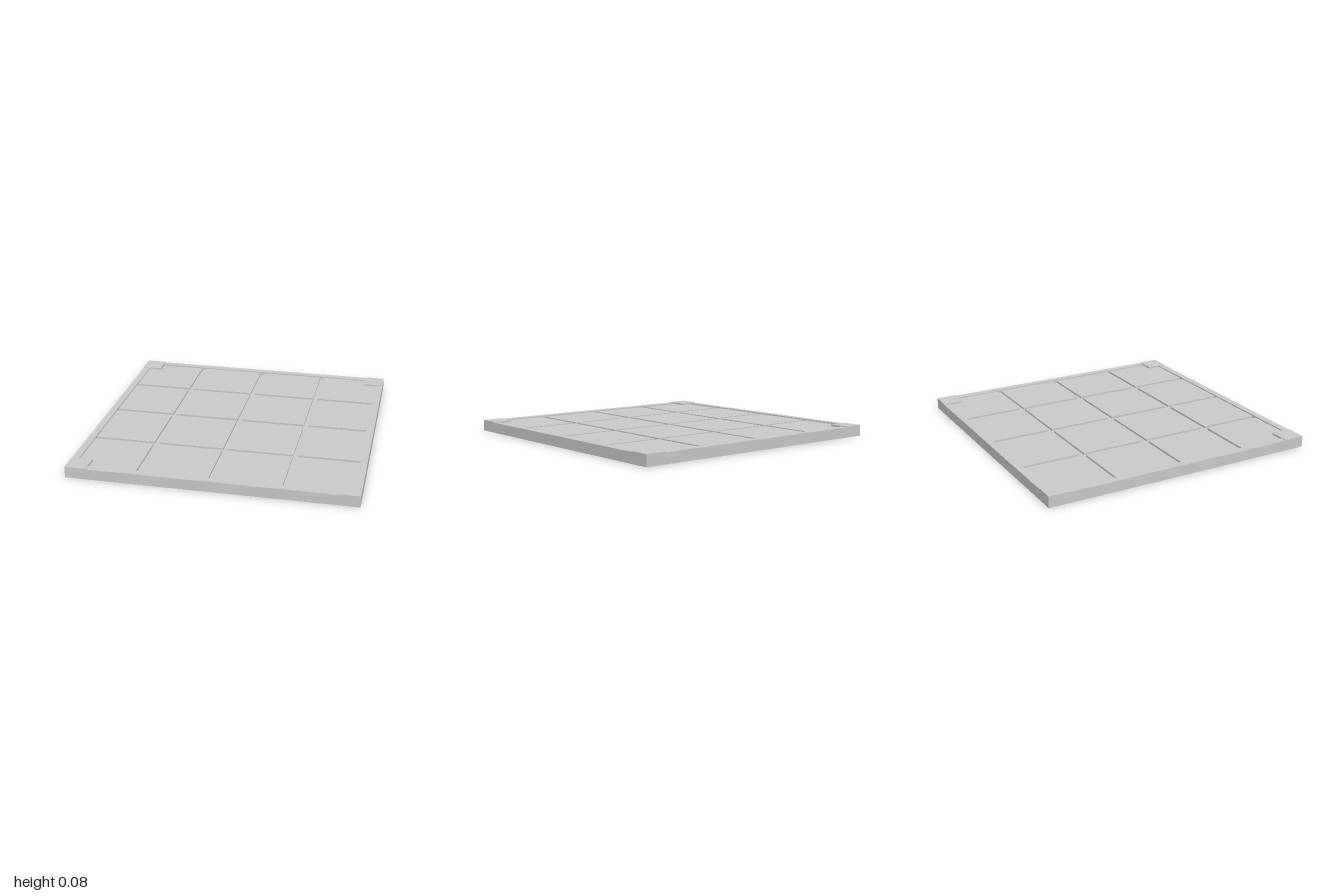
import * as THREE from 'three';

const BASE_TOP = 0.053, TILE_TOP = 0.067, RIM_TOP = 0.076, CORNER_TOP = 0.081;
const RIM = 0.05, CORNER = 0.15, PITCH = 0.5, GAP = 0.033;

export function createModel() {
  const model = new THREE.Group();
  model.name = 'floorPanel';
  const material = new THREE.MeshStandardMaterial({ color: 0xcccccc, flatShading: true });

  // Box given by its footprint and its bottom and top heights
  const block = (name, w, d, bottom, top, x, z) => {
    const mesh = new THREE.Mesh(new THREE.BoxGeometry(w, top - bottom, d), material);
    mesh.name = name;
    mesh.position.set(x, (bottom + top) / 2, z);
    model.add(mesh);
  };

  // Base slab
  block('baseSlab', 2, 2, 0, BASE_TOP, 0, 0);

  // Four by four tiles separated by grooves, outer ones meeting the rim
  const inner = 1 - RIM;
  const spans = [-2, -1, 0, 1].map((i) => {
    const from = Math.max(i * PITCH + GAP / 2, -inner);
    const to = Math.min((i + 1) * PITCH - GAP / 2, inner);
    return { size: to - from, mid: (from + to) / 2 };
  });
  for (const sx of spans) {
    for (const sz of spans) block('tile', sx.size, sz.size, BASE_TOP, TILE_TOP, sx.mid, sz.mid);
  }

  // Raised rim between the corners, and the corner plates
  const length = 2 - 2 * CORNER, offset = 1 - RIM / 2, cornerOffset = 1 - CORNER / 2;
  for (const s of [-1, 1]) {
    block(s > 0 ? 'frontRim' : 'backRim', length, RIM, BASE_TOP, RIM_TOP, 0, s * offset);
    block(s > 0 ? 'leftRim' : 'rightRim', RIM, length, BASE_TOP, RIM_TOP, s * offset, 0);
    for (const t of [-1, 1]) {
      block('cornerPlate', CORNER, CORNER, BASE_TOP, CORNER_TOP, s * cornerOffset, t * cornerOffset);
    }
  }
  return model;
}
